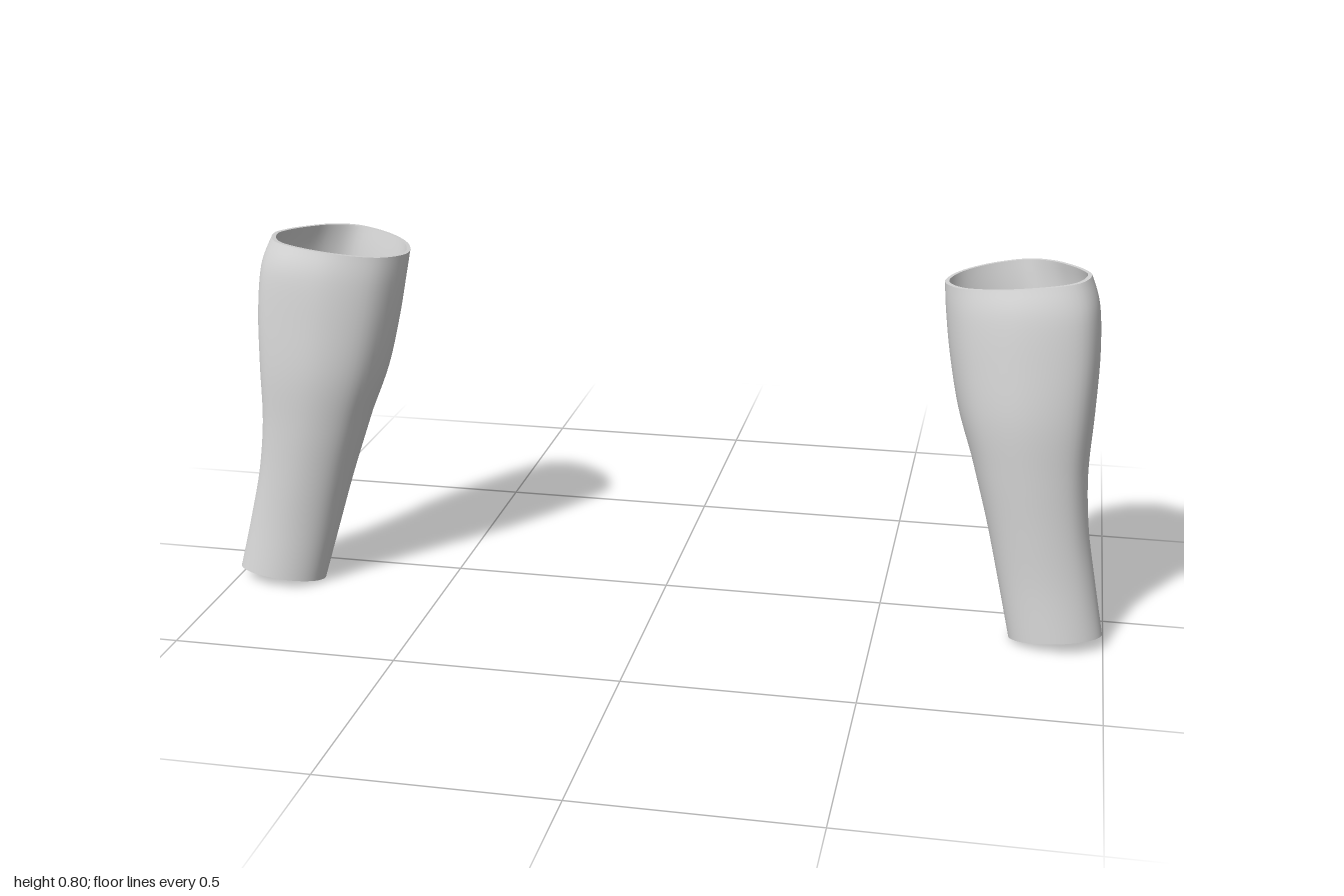
import * as THREE from 'three';

const SIDES = 64, ROWS = 40, WALL = 0.009;

// Extents of the sleeve at rising heights: y, xMin, xMax, zMin, zMax
const LEVELS = [
  [0.02, 0.795, 0.997, 0.055, 0.19],
  [0.14, 0.765, 0.975, 0.015, 0.17],
  [0.26, 0.733, 0.954, -0.03, 0.157],
  [0.38, 0.695, 0.945, -0.08, 0.147],
  [0.50, 0.655, 0.95, -0.132, 0.136],
  [0.62, 0.63, 0.952, -0.156, 0.113],
  [0.72, 0.616, 0.943, -0.176, 0.09],
  [0.78, 0.61, 0.922, -0.19, 0.068],
];

// Outline of the upper opening, scaled to -1..1 (outer side, front, inner side, back)
const OPENING = [
  [1, 0.37], [0.8, 0.86], [0, 1], [-0.68, 0.76], [-0.94, 0.4], [-1, 0.1], [-0.87, -0.37],
  [-0.6, -0.72], [-0.25, -0.94], [0.13, -1], [0.45, -0.8], [0.7, -0.45], [0.92, 0],
];
const outline = new THREE.CatmullRomCurve3(
  OPENING.map(([u, v]) => new THREE.Vector3(u, 0, v)), true).getSpacedPoints(SIDES).slice(0, SIDES);

// Smooth interpolation of each extent along the sleeve
const channel = (k) => new THREE.SplineCurve(LEVELS.map((l) => new THREE.Vector2(l[0], l[k])));
const channels = [0, 1, 2, 3, 4].map(channel);

// One ring of points; the section blends from an ellipse below to the opening above
function ring(t, inset, side) {
  const [, x0, x1, z0, z1] = channels.map((c) => c.getPoint(t).y);
  const y0 = channels[0].getPoint(t).x;
  const h = (y0 - 0.02) / 0.76;
  const blend = Math.min(1, h * 1.1);
  return outline.map((p) => {
    const a = Math.atan2(p.z, p.x);
    const u = THREE.MathUtils.lerp(Math.cos(a), p.x, blend);
    const v = THREE.MathUtils.lerp(Math.sin(a), p.z, blend);
    const x = (x0 + x1) / 2 + u * ((x1 - x0) / 2 - inset);
    const z = (z0 + z1) / 2 + v * ((z1 - z0) / 2 - inset);
    // both openings are cut at a slant
    const low = -0.005 + 0.11 * (x - 0.895) + 0.13 * (z - 0.12);
    const high = 0.12 * (x - 0.77);
    const y = y0 + low * Math.max(0, 1 - h * 2) + high * Math.max(0, h * 2 - 1);
    return [side * x, y, z];
  });
}

// Joins consecutive rings into a smooth closed strip
function strip(rings, side) {
  const index = [];
  for (let j = 0; j < rings.length - 1; j++) {
    for (let i = 0; i < SIDES; i++) {
      const n = (i + 1) % SIDES;
      const a = j * SIDES + i, b = j * SIDES + n, c = a + SIDES, d = b + SIDES;
      if (side > 0) index.push(a, c, b, b, c, d);
      else index.push(a, b, c, b, d, c);
    }
  }
  const geometry = new THREE.BufferGeometry();
  geometry.setAttribute('position', new THREE.Float32BufferAttribute(rings.flat(2), 3));
  geometry.setIndex(index);
  geometry.computeVertexNormals();
  return geometry;
}

export function createModel() {
  const model = new THREE.Group();
  model.name = 'sleevePair';
  const material = new THREE.MeshStandardMaterial({ color: 0xd0d0d0 });
  material.name = 'light grey';

  for (const side of [1, -1]) {
    const sleeve = new THREE.Group();
    sleeve.name = side > 0 ? 'leftSleeve' : 'rightSleeve';
    const outer = [], inner = [];
    for (let j = 0; j <= ROWS; j++) {
      outer.push(ring(j / ROWS, 0, side));
      inner.push(ring(j / ROWS, WALL, side));
    }
    const parts = {
      outerSurface: outer,
      upperRim: [outer[ROWS], inner[ROWS]],
      innerSurface: [...inner].reverse(),
      lowerRim: [inner[0], outer[0]],
    };
    for (const [name, rings] of Object.entries(parts)) {
      const mesh = new THREE.Mesh(strip(rings, side), material);
      mesh.name = name;
      sleeve.add(mesh);
    }
    model.add(sleeve);
  }
  return model;
}
